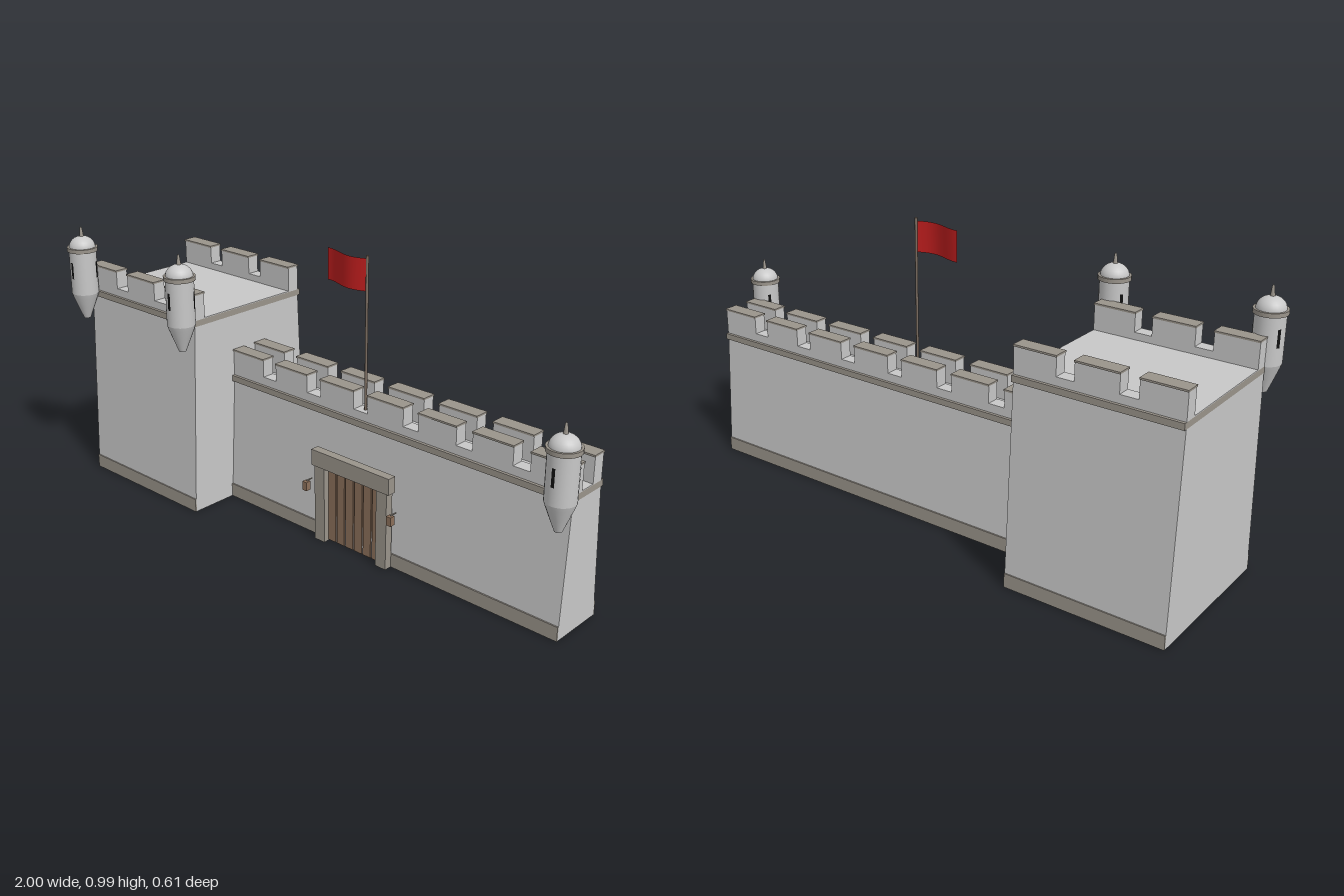
import * as THREE from 'three';

export function createModel() {
  const mat = (name, color) => Object.assign(new THREE.MeshStandardMaterial({ color }), { name });
  const stone = mat('stone', 0xc8c8c8);
  const trim = mat('trimStone', 0x9a948b);
  const wood = mat('wood', 0x8c705a);
  const iron = mat('poleBrown', 0x7a6c60);
  const black = mat('slitBlack', 0x101010);
  const red = mat('flagRed', 0xc01e1e);
  stone.side = red.side = black.side = THREE.DoubleSide;

  const root = new THREE.Group();
  root.name = 'castleWall';
  const add = (parent, name, geo, material) => {
    const m = new THREE.Mesh(geo, material);
    m.name = name;
    parent.add(m);
    return m;
  };
  // Box given by its minimum and maximum on each axis
  const box = (parent, name, material, x0, x1, y0, y1, z0, z1) => {
    const m = add(parent, name, new THREE.BoxGeometry(x1 - x0, y1 - y0, z1 - z0), material);
    m.position.set((x0 + x1) / 2, (y0 + y1) / 2, (z0 + z1) / 2);
    return m;
  };
  // Block along x, open below, whose front and back lean inwards
  const tapered = (parent, name, material, x0, x1, y1, base, top) => {
    const g = new THREE.BoxGeometry(1, 1, 1);
    const p = g.attributes.position;
    for (let i = 0; i < p.count; i++) {
      const ends = p.getY(i) > 0 ? top : base;
      p.setXYZ(i, p.getX(i) > 0 ? x1 : x0, p.getY(i) > 0 ? y1 : 0, ends[p.getZ(i) > 0 ? 1 : 0]);
    }
    const index = Array.from(g.index.array);
    index.splice(18, 6); // the underside
    g.setIndex(index);
    g.clearGroups();
    g.computeVertexNormals();
    return add(parent, name, g, material);
  };

  // Body, plinth strips, cornice, walkway and two battlements
  function rampart({ name, x0, x1, h, base, top, count, step, height, embed }) {
    const g = new THREE.Group();
    g.name = name;
    root.add(g);
    const yc = h - 0.021;
    tapered(g, 'body', stone, x0 - embed, x1, yc, base, top);
    box(g, 'plinthBack', trim, x0 - embed, x1, 0, 0.048, base[0] - 0.002, base[0] + 0.003);
    box(g, 'plinthFront', trim, x0 - embed, x1, 0, 0.048, base[1] - 0.003, base[1] + 0.002);
    box(g, 'cornice', trim, x0, x1, yc, h, top[0] - 0.01, top[1] + 0.01);
    box(g, 'walkway', stone, x0, x1, h, h + 0.003, top[0], top[1]);

    const gap = 0.059;
    const w = (x1 - x0 - gap * (count - 1)) / count;
    for (const [z0, z1] of [[top[1] - 0.045, top[1]], [top[0], top[0] + 0.045]]) {
      box(g, 'parapet', stone, x0, x1, h, step, z0, z1);
      for (let i = 0; i < count; i++) {
        const x = x0 + i * (w + gap);
        box(g, 'merlon', stone, x, x + w, step, height - 0.006, z0, z1);
        box(g, 'merlonCap', trim, x - 0.001, x + w + 0.001, height - 0.006, height, z0 - 0.003, z1 + 0.003);
      }
    }
  }
  rampart({ name: 'tower', x0: -0.96, x1: -0.411, h: 0.694, base: [-0.3, 0.243],
    top: [-0.272, 0.214], count: 3, step: 0.721, height: 0.786, embed: 0 });
  rampart({ name: 'curtainWall', x0: -0.41, x1: 0.96, h: 0.458, base: [-0.128, 0.069],
    top: [-0.102, 0.044], count: 7, step: 0.487, height: 0.551, embed: 0.19 });

  // Hanging watch turret; y is the bottom of its cone
  const lathe = (pts) => new THREE.LatheGeometry(pts.map(([r, y]) => new THREE.Vector2(r, y)), 24);
  function turret(x, y, z) {
    const g = new THREE.Group();
    g.name = 'turret';
    g.position.set(x, y, z);
    root.add(g);
    add(g, 'turretCone', lathe([[0, 0], [0.012, 0], [0.012, 0], [0.03, 0.046], [0.043, 0.08], [0.0475, 0.094]]), stone);
    add(g, 'turretBody', lathe([[0.0475, 0.094], [0.0475, 0.248]]), stone);
    add(g, 'turretRing', new THREE.CylinderGeometry(0.053, 0.053, 0.014, 24), trim).position.y = 0.253;
    const dome = add(g, 'turretDome', new THREE.SphereGeometry(0.046, 24, 8, 0, Math.PI * 2, 0, Math.PI / 2), stone);
    dome.position.y = 0.258;
    dome.scale.y = 0.87;
    add(g, 'finial', lathe([[0.008, 0.294], [0.006, 0.308], [0.004, 0.326], [0, 0.333]]), trim);
    // Three arrow slits, curved with the wall
    for (let i = 0; i < 3; i++) {
      const arc = 0.22;
      const slit = new THREE.CylinderGeometry(0.0482, 0.0482, 0.058, 2, 1, true, i * Math.PI * 2 / 3 - arc / 2, arc);
      add(g, 'arrowSlit', slit, black).position.y = 0.18;
    }
  }
  turret(-0.945, 0.598, 0.257);
  turret(-0.427, 0.598, 0.257);
  turret(0.945, 0.362, 0.085);

  // Gate with jambs, lintel and upright planks; stone shows low between the planks
  const gate = new THREE.Group();
  gate.name = 'gate';
  root.add(gate);
  box(gate, 'jambRight', trim, 0.023, 0.066, 0, 0.27, 0.07, 0.098);
  box(gate, 'jambLeft', trim, 0.289, 0.332, 0, 0.27, 0.07, 0.098);
  box(gate, 'lintel', trim, 0.012, 0.343, 0.27, 0.326, 0.071, 0.102);
  box(gate, 'doorBack', wood, 0.066, 0.289, 0.1, 0.27, 0.0695, 0.0735);
  box(gate, 'sill', stone, 0.066, 0.289, 0.004, 0.1, 0.0695, 0.0735);
  for (let i = 0; i < 6; i++) {
    const x = 0.066 + i * 0.0382;
    box(gate, 'doorPlank', wood, x, x + 0.032, 0.004, 0.27, 0.0735, 0.078);
  }

  // Wall lanterns on short brackets
  for (const x of [-0.006, 0.357]) {
    box(root, 'lanternBracket', trim, x - 0.002, x + 0.002, 0.206, 0.209, 0.08, 0.106);
    box(root, 'lantern', wood, x - 0.009, x + 0.009, 0.175, 0.206, 0.098, 0.117);
  }

  // Flagpole and waving flag
  const pole = add(root, 'flagpole', new THREE.CylinderGeometry(0.0045, 0.0045, 0.532, 10), iron);
  pole.position.set(0.175, 0.726, 0.022);
  const flag = new THREE.PlaneGeometry(0.174, 0.104, 20, 1);
  const pos = flag.attributes.position;
  for (let i = 0; i < pos.count; i++) {
    const t = 0.5 - pos.getX(i) / 0.174;
    pos.setZ(i, 0.014 * Math.sin(t * Math.PI * 1.5));
  }
  flag.computeVertexNormals();
  add(root, 'flag', flag, red).position.set(0.087, 0.93, 0.022);

  return root;
}
